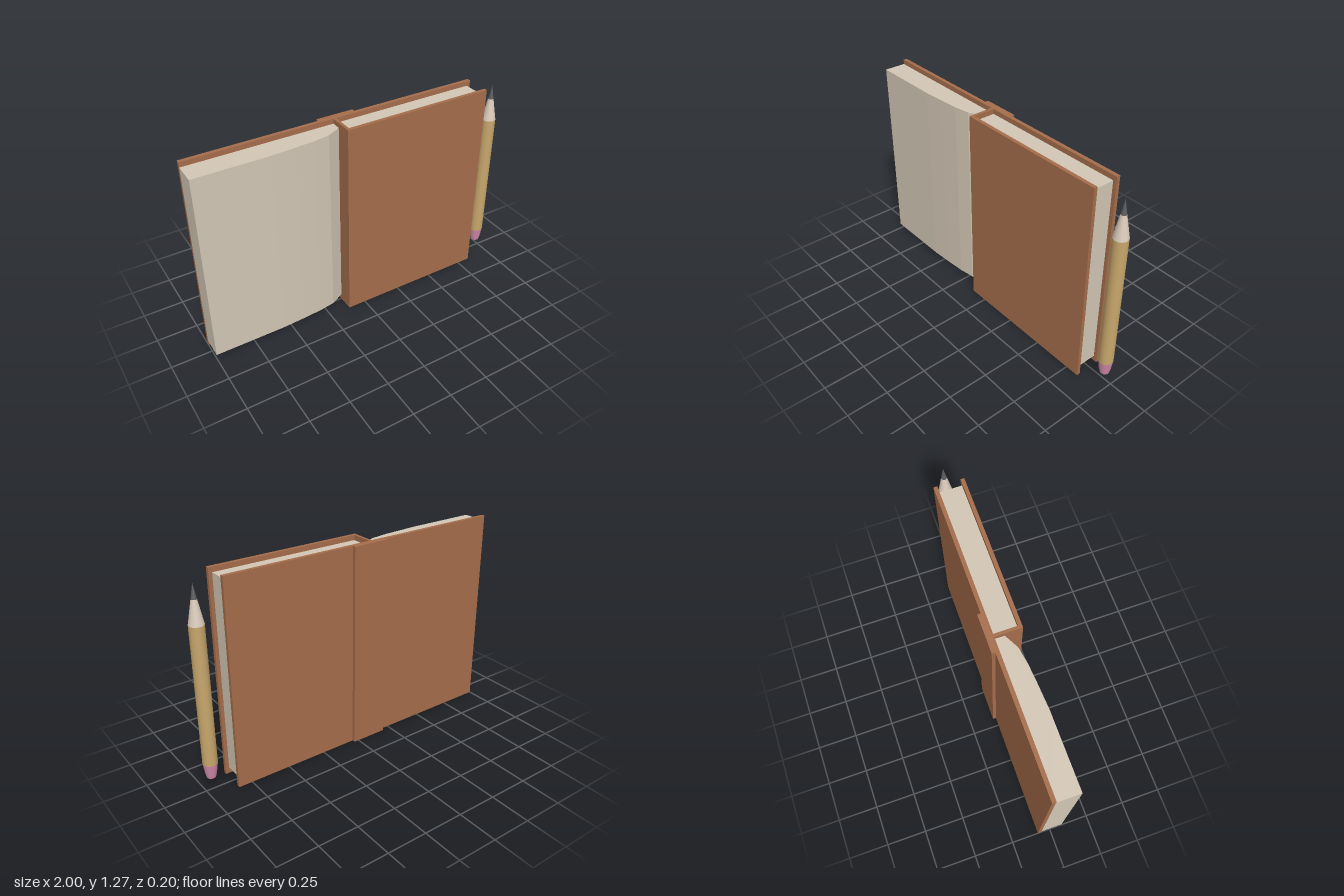
import * as THREE from 'three';

const mat = (name, color) => {
  const m = new THREE.MeshStandardMaterial({ color });
  m.name = name;
  return m;
};

export function createModel() {
  const leather = mat('brown cover', 0xa56d4b);
  const paper = mat('paper', 0xd3c7b5);
  const paint = mat('pencil paint', 0xc8a76c);
  const rubber = mat('pink eraser', 0xd48bab);
  const wood = mat('bare wood', 0xdccdbd);
  const lead = mat('graphite', 0x5c5c5e);

  const model = new THREE.Group();
  model.name = 'openBookWithPencil';
  const add = (parent, name, geometry, material) => {
    const mesh = new THREE.Mesh(geometry, material);
    mesh.name = name;
    parent.add(mesh);
    return mesh;
  };

  const book = new THREE.Group();
  book.name = 'book';
  model.add(book);

  // Box given by its minimum and maximum on each axis
  const slab = (name, [x0, x1], [y0, y1], [z0, z1], material) => {
    const mesh = add(book, name, new THREE.BoxGeometry(x1 - x0, y1 - y0, z1 - z0), material);
    mesh.position.set((x0 + x1) / 2, (y0 + y1) / 2, (z0 + z1) / 2);
  };
  const full = [0, 1.27];
  const leaf = [0.035, 1.24];

  // Covers, spine and the wall that holds the front flap
  slab('backCover', [-1, 0.835], full, [-0.08, -0.057], leather);
  slab('spine', [-0.197, 0.032], full, [-0.1, -0.08], leather);
  slab('frontCover', [-0.115, 0.835], full, [0.078, 0.1], leather);
  slab('hingeWall', [-0.115, -0.097], full, [-0.057, 0.078], leather);
  slab('closedPages', [-0.095, 0.813], leaf, [-0.057, 0.078], paper);

  // Open pages, curving down towards the hinge
  const profile = [
    [-1, -0.057], [-1, 0.078], [-0.56, 0.077], [-0.42, 0.069],
    [-0.3, 0.06], [-0.2, 0.044], [-0.115, 0], [-0.115, -0.057],
  ];
  const shape = new THREE.Shape(profile.map(([x, z]) => new THREE.Vector2(x, -z)));
  const pages = new THREE.ExtrudeGeometry(shape, { depth: leaf[1] - leaf[0], bevelEnabled: false });
  pages.rotateX(-Math.PI / 2);
  add(book, 'openPages', pages, paper).position.y = leaf[0];

  // Pencil standing upright beside the book, built from lathed profiles
  const pencil = new THREE.Group();
  pencil.name = 'pencil';
  pencil.position.set(0.956, 0, 0.012);
  model.add(pencil);
  const turn = (name, points, material) =>
    add(pencil, name, new THREE.LatheGeometry(points.map(([r, y]) => new THREE.Vector2(r, y)), 16), material);

  turn('eraser', [[0.027, 0.076], [0.033, 0.1], [0.043, 0.168]], rubber);
  const end = add(pencil, 'eraserEnd', new THREE.CircleGeometry(0.027, 16), rubber);
  end.rotation.x = Math.PI / 2;
  end.position.y = 0.076;
  turn('shaft', [[0.043, 0.168], [0.043, 1.01]], paint);
  turn('sharpenedWood', [[0.043, 1.01], [0.0165, 1.149]], wood);
  turn('leadTip', [[0.0165, 1.149], [0, 1.236]], lead);

  return model;
}
